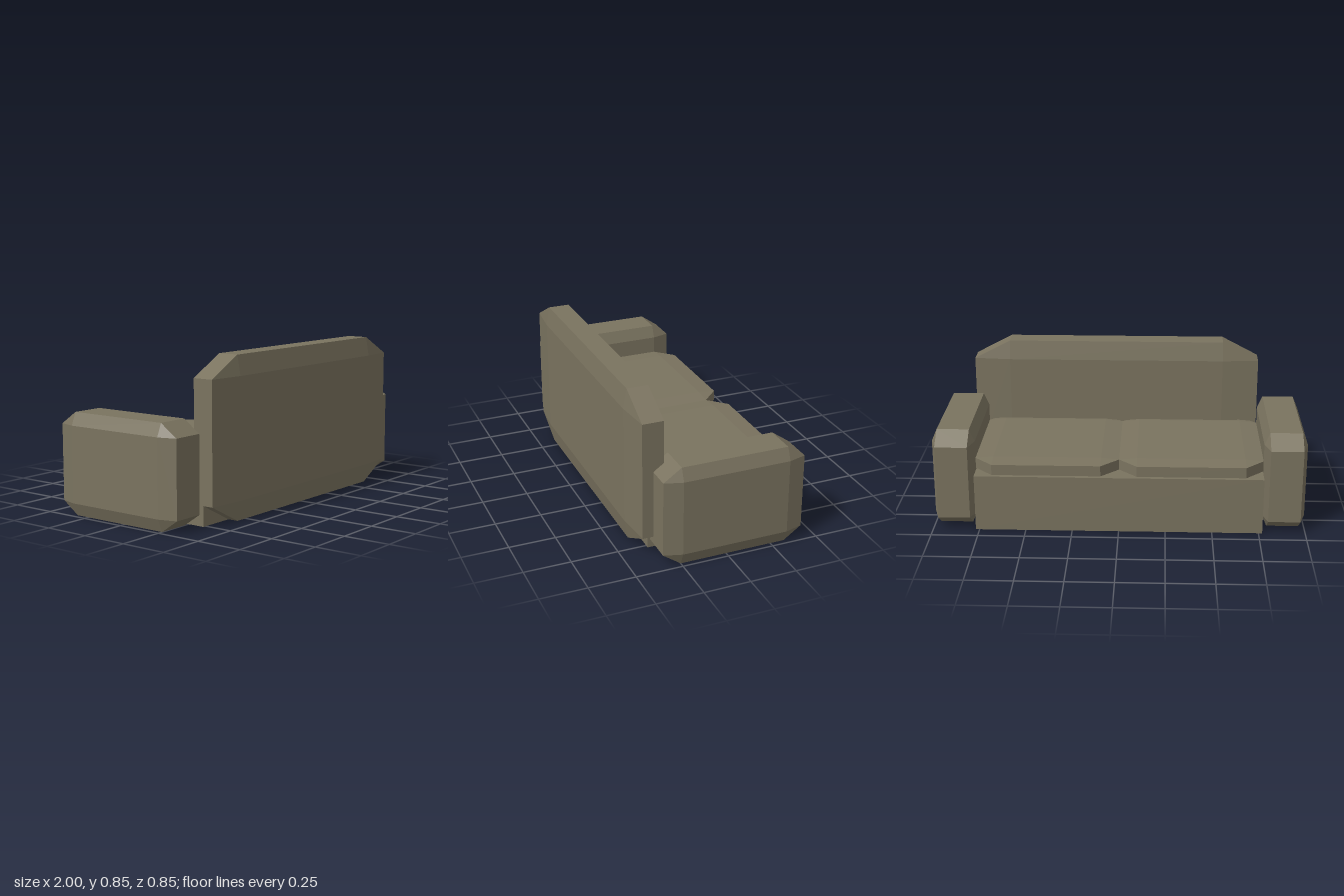
import * as THREE from 'three';
import { ConvexGeometry } from 'three/addons/geometries/ConvexGeometry.js';

const BEVEL = 0.125; // chamfer as a share of each dimension

// Box with all edges chamfered in proportion to its size: three points per corner
function chamferedBox(w, h, d) {
  const points = [];
  const inner = 0.5 - BEVEL;
  for (const sx of [-1, 1]) for (const sy of [-1, 1]) for (const sz of [-1, 1]) {
    for (const [x, y, z] of [[0.5, inner, inner], [inner, 0.5, inner], [inner, inner, 0.5]]) {
      points.push(new THREE.Vector3(sx * x * w, sy * y * h, sz * z * d));
    }
  }
  return new ConvexGeometry(points);
}

export function createModel() {
  const sofa = new THREE.Group();
  sofa.name = 'sofa';
  const fabric = new THREE.MeshStandardMaterial({ color: 0x7a735f, flatShading: true });

  // Places a part by its [min, max] range on each axis
  function addPart(name, [x0, x1], [y0, y1], [z0, z1], makeGeometry = chamferedBox) {
    const mesh = new THREE.Mesh(makeGeometry(x1 - x0, y1 - y0, z1 - z0), fabric);
    mesh.position.set((x0 + x1) / 2, (y0 + y1) / 2, (z0 + z1) / 2);
    mesh.name = name;
    sofa.add(mesh);
  }

  const seatDepth = [-0.423, 0.346];

  // Plain seat base
  addPart('seatBase', [-0.77, 0.77], [0, 0.31], seatDepth,
    (w, h, d) => new THREE.BoxGeometry(w, h, d));

  // Two seat cushions side by side
  addPart('rightCushion', [-0.77, 0], [0.31, 0.387], seatDepth);
  addPart('leftCushion', [0, 0.77], [0.31, 0.387], seatDepth);

  // Armrests
  addPart('rightArmrest', [-1, -0.77], [0, 0.54], seatDepth);
  addPart('leftArmrest', [0.77, 1], [0, 0.54], seatDepth);

  // Backrest, slightly off centre
  addPart('backrest', [-0.77, 0.845], [0, 0.846], [0.27, 0.423]);

  return sofa;
}
